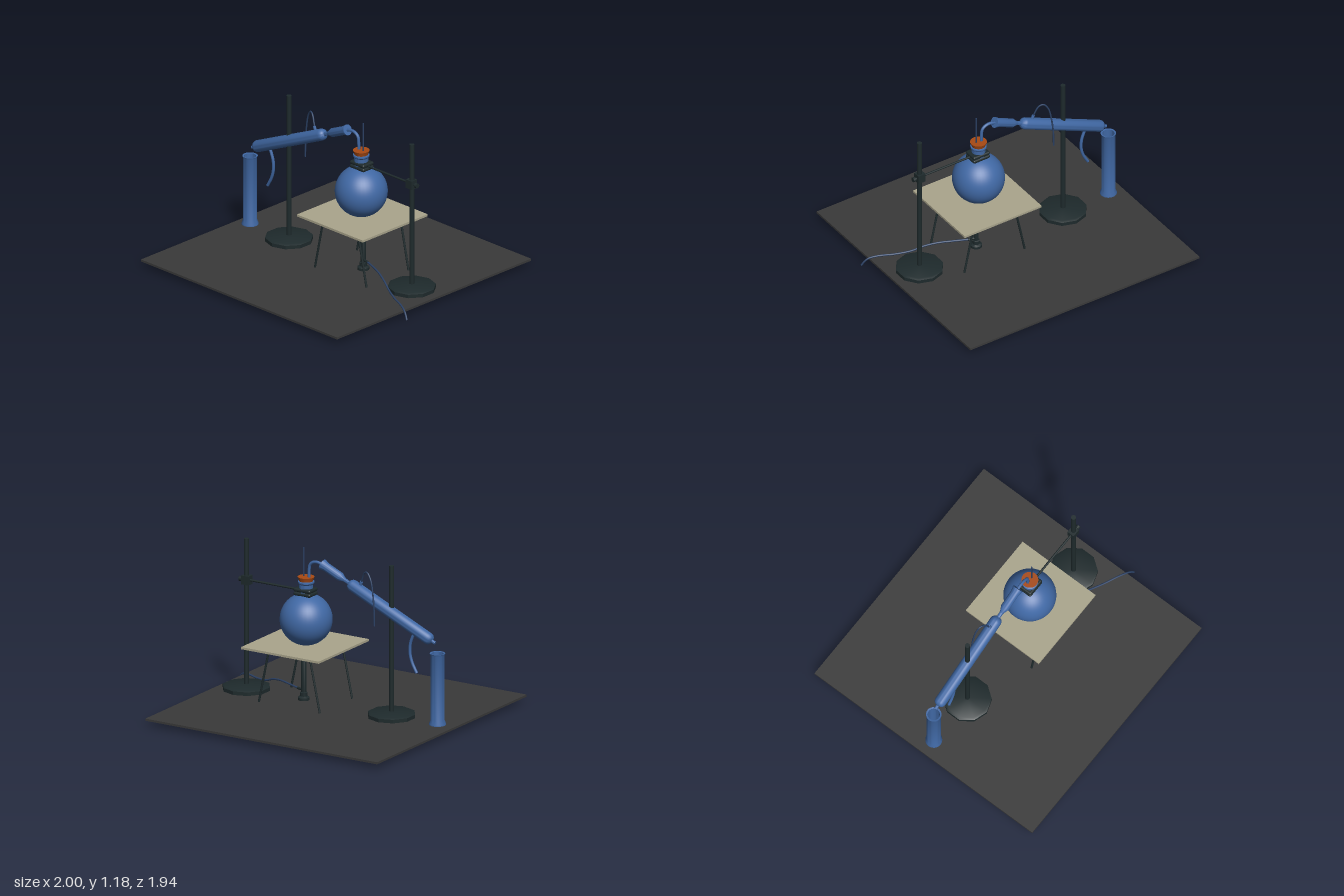
import * as THREE from 'three';
import { RoundedBoxGeometry } from 'three/addons/geometries/RoundedBoxGeometry.js';
import { toCreasedNormals } from 'three/addons/utils/BufferGeometryUtils.js';

const mat = (color) => new THREE.MeshStandardMaterial({ color, side: THREE.DoubleSide });
const glass = mat(0x4068a4), iron = mat(0x1e2a2c), slate = mat(0x3a3a3a);
const gauze = mat(0xaaa58c), cork = mat(0xa84a14), liquid = mat(0x5a2a90), rubber = mat(0x2c4266);

export function createModel() {
  const model = new THREE.Group();
  const v = (p) => new THREE.Vector3(...p);

  const add = (name, geometry, material, x = 0, y = 0, z = 0, parent = model) => {
    const mesh = new THREE.Mesh(geometry, material);
    mesh.name = name;
    mesh.position.set(x, y, z);
    parent.add(mesh);
    return mesh;
  };
  // Turned part from [radius, height] points
  const turned = (points, sides = 32) => toCreasedNormals(
    new THREE.LatheGeometry(points.map(([r, h]) => new THREE.Vector2(r, h)), sides), 0.6);
  const hose = (points, radius) => new THREE.TubeGeometry(
    new THREE.CatmullRomCurve3(points.map(v)), 48, radius, 8);
  // Straight rod between two points
  const rod = (name, a, b, radius, material) => {
    const from = v(a), dir = v(b).sub(from);
    const mesh = add(name, new THREE.CylinderGeometry(radius, radius, dir.length(), 10), material);
    mesh.position.copy(from).addScaledVector(dir, 0.5);
    mesh.quaternion.setFromUnitVectors(new THREE.Vector3(0, 1, 0), dir.normalize());
    return mesh;
  };

  // Bench board
  add('board', new THREE.BoxGeometry(1.94, 0.016, 1.94), slate, -0.03, 0.049, 0);

  // Two stands with ten-sided feet
  for (const [name, x] of [['condenserStand', -0.495], ['flaskStand', 0.72]]) {
    const stand = new THREE.Group();
    stand.name = name;
    stand.position.x = x;
    model.add(stand);
    add('foot', turned([[0, 0.062], [0.172, 0.062], [0.172, 0.088], [0.155, 0.096], [0, 0.103]], 10),
      iron, 0, 0, 0, stand);
    add('pole', new THREE.CylinderGeometry(0.018, 0.018, 1.08, 12), iron, 0, 0.63, 0, stand);
  }

  // Tripod table with splayed legs
  add('gauzePlate', new THREE.BoxGeometry(0.65, 0.016, 0.65), gauze, 0.23, 0.473, 0);
  for (const side of [-1, 1]) {
    for (const z of [-0.21, 0.21]) {
      rod('tableLeg', [0.225 + side * 0.255, 0.062, z], [0.225 + side * 0.168, 0.468, z], 0.008, iron);
    }
  }

  // Round flask: sphere running into a neck with a flared rim
  const bulb = [];
  for (let i = 0; i <= 28; i++) {
    const a = (i / 28) * (Math.PI - 0.27);
    bulb.push([0.187 * Math.sin(a), 0.66 - 0.187 * Math.cos(a)]);
  }
  add('flask', turned([...bulb, [0.05, 0.86], [0.05, 0.918], [0.058, 0.928], [0.058, 0.938], [0.045, 0.942]], 40),
    glass, 0.22);
  add('stopper', turned([[0, 0.925], [0.046, 0.925], [0.049, 0.943], [0.06, 0.972], [0, 0.972]]), cork, 0.22);
  rod('thermometer', [0.24, 0.75, 0], [0.24, 1.185, 0], 0.005, rubber);
  add('deliveryTube', hose([[0.195, 0.92, 0], [0.195, 1.02, 0], [0.187, 1.065, 0], [0.16, 1.087, 0],
    [0.12, 1.092, 0], [0.04, 1.065, 0]], 0.011), glass);

  // Clamp holding the flask neck
  for (const y of [0.848, 0.877]) {
    add('clampJaw', new RoundedBoxGeometry(0.14, 0.027, 0.11, 3, 0.012), iron, 0.225, y, 0);
  }
  rod('clampArm', [0.28, 0.868, 0], [0.72, 0.868, 0], 0.008, iron);
  add('clampBoss', new THREE.BoxGeometry(0.06, 0.065, 0.055), iron, 0.716, 0.867, 0);
  rod('clampScrew', [0.74, 0.867, 0], [0.765, 0.867, 0], 0.009, iron);
  rod('clampKnob', [0.757, 0.867, 0], [0.777, 0.867, 0], 0.018, iron);

  // Condenser and adapter, turned along one sloping axis
  const axis = new THREE.Group();
  axis.name = 'condenserAssembly';
  axis.position.set(-0.86, 0.66, 0);
  axis.rotation.z = Math.atan2(0.425, 0.945) - Math.PI / 2;
  model.add(axis);
  add('condenser', turned([[0, 0], [0.012, 0], [0.012, 0.028], [0.028, 0.034], [0.039, 0.046], [0.043, 0.062],
    [0.043, 0.755], [0.039, 0.772], [0.028, 0.785], [0.014, 0.792], [0.014, 0.83]]), glass, 0, 0, 0, axis);
  add('adapter', turned([[0.014, 0.825], [0.016, 0.835], [0.032, 0.872], [0.032, 1.0], [0.039, 1.03],
    [0.039, 1.036], [0, 1.036]]), glass, 0, 0, 0, axis);

  // Cooling water hoses
  rod('outletNozzle', [-0.225, 0.96, 0], [-0.245, 1.012, 0], 0.011, glass);
  add('outletHose', hose([[-0.238, 0.99, 0], [-0.252, 1.03, -0.005], [-0.28, 1.085, -0.018], [-0.31, 1.095, -0.03],
    [-0.345, 1.05, -0.04], [-0.368, 0.95, -0.046], [-0.38, 0.84, -0.05], [-0.383, 0.72, -0.05]], 0.006), rubber);
  add('inletHose', hose([[-0.69, 0.72, 0], [-0.67, 0.675, 0], [-0.652, 0.62, 0], [-0.65, 0.55, 0],
    [-0.668, 0.485, 0], [-0.706, 0.415, 0]], 0.011), glass);

  // Receiving cylinder with liquid
  add('measuringCylinder', turned([[0, 0.066], [0.06, 0.066], [0.06, 0.074], [0.05, 0.1], [0.05, 0.578],
    [0.055, 0.59], [0.043, 0.588], [0.043, 0.1], [0, 0.1]]), glass, -0.88);
  add('collectedLiquid', new THREE.CylinderGeometry(0.042, 0.042, 0.2, 28), liquid, -0.88, 0.202, 0);

  // Gas burner and its hose trailing over the board edge
  add('burner', turned([[0, 0.064], [0.042, 0.064], [0.042, 0.083], [0.026, 0.092], [0.026, 0.118], [0.018, 0.122],
    [0.018, 0.345], [0.012, 0.36], [0, 0.36]], 16), iron, 0.24);
  rod('gasInlet', [0.24, 0.137, 0], [0.3, 0.137, 0.012], 0.009, iron);
  add('gasHose', hose([[0.29, 0.137, 0.01], [0.4, 0.14, 0.055], [0.5, 0.138, 0.1], [0.59, 0.12, 0.142],
    [0.67, 0.09, 0.178], [0.78, 0.074, 0.23], [0.88, 0.074, 0.275], [0.945, 0.06, 0.305],
    [0.975, 0.035, 0.318], [0.993, 0.006, 0.326]], 0.007), rubber);

  return model;
}
